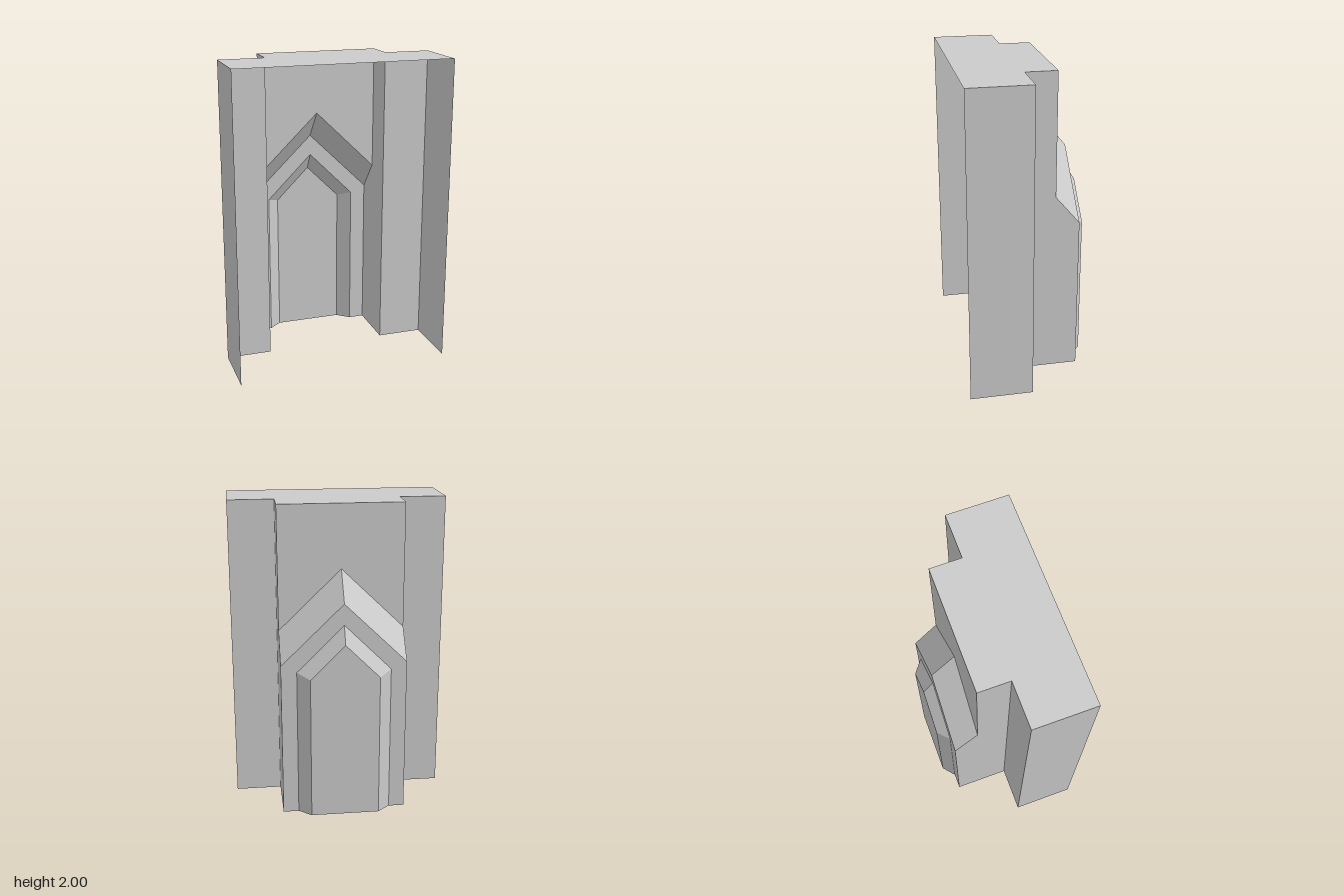
import * as THREE from 'three';

const material = new THREE.MeshStandardMaterial({ color: 0xcccccc, flatShading: true, side: THREE.DoubleSide });

// Depths of the stepped shell, open at the front and underneath
const FRONT = 0.413, STEP = 0.013, BACK = -0.19, SHELF = -0.345, PANEL = -0.413;
const W = 0.697, N = 0.4, H = 2;

// Flat panels for the left half, fanned from their first corner, plus their mirror image
function mirroredPanels(name, polygons) {
  const positions = [];
  for (const polygon of polygons) {
    for (let i = 1; i < polygon.length - 1; i++) {
      const tri = [polygon[0], polygon[i], polygon[i + 1]];
      for (const p of tri) positions.push(...p);
      for (const [x, y, z] of tri.reverse()) positions.push(-x, y, z);
    }
  }
  const geometry = new THREE.BufferGeometry();
  geometry.setAttribute('position', new THREE.Float32BufferAttribute(positions, 3));
  geometry.computeVertexNormals();
  const mesh = new THREE.Mesh(geometry, material);
  mesh.name = name;
  return mesh;
}

// Half of a pointed arch outline: apex, shoulder, foot
const arch = (apex, halfWidth, shoulder, z) => [[0, apex, z], [halfWidth, shoulder, z], [halfWidth, 0, z]];

// Quads joining an outer arch to an inner one
const band = (a, b) => [
  [a[0], a[1], b[1], b[0]],
  [a[1], a[2], b[2], b[1]],
];

export function createModel() {
  const group = new THREE.Group();
  group.name = 'steppedShell';

  const roofEdge = arch(1.59, N, 1.2, BACK);
  const shelfOuter = arch(1.405, N, 1.015, SHELF);
  const shelfInner = arch(1.27, 0.3, 0.97, SHELF);
  const panelEdge = arch(1.16, 0.22, 0.94, PANEL);

  group.add(
    // T-shaped top
    mirroredPanels('topCap', [
      [[0, H, FRONT], [W, H, FRONT], [W, H, STEP], [N, H, STEP], [N, H, BACK], [0, H, BACK]],
    ]),
    // Wide outer walls and the step behind them
    mirroredPanels('sideWalls', [
      [[W, 0, FRONT], [W, 0, STEP], [W, H, STEP], [W, H, FRONT]],
    ]),
    mirroredPanels('stepFaces', [
      [[N, H, STEP], [W, H, STEP], [W, 0, STEP], [N, 0, STEP]],
    ]),
    // Narrow walls, deeper below the gable
    mirroredPanels('innerWalls', [
      [[N, 0, STEP], [N, 0, SHELF], shelfOuter[1], roofEdge[1], [N, H, BACK], [N, H, STEP]],
    ]),
    // Upper back wall and sloping gable
    mirroredPanels('upperBack', [
      [[0, H, BACK], [N, H, BACK], roofEdge[1], roofEdge[0]],
    ]),
    mirroredPanels('gableSlope', [
      [roofEdge[0], roofEdge[1], shelfOuter[1], shelfOuter[0]],
    ]),
    // Pointed frame, bevel and raised panel
    mirroredPanels('pointedFrame', band(shelfOuter, shelfInner)),
    mirroredPanels('panelBevel', band(shelfInner, panelEdge)),
    mirroredPanels('raisedPanel', [[...panelEdge, [0, 0, PANEL]]]),
  );
  return group;
}
